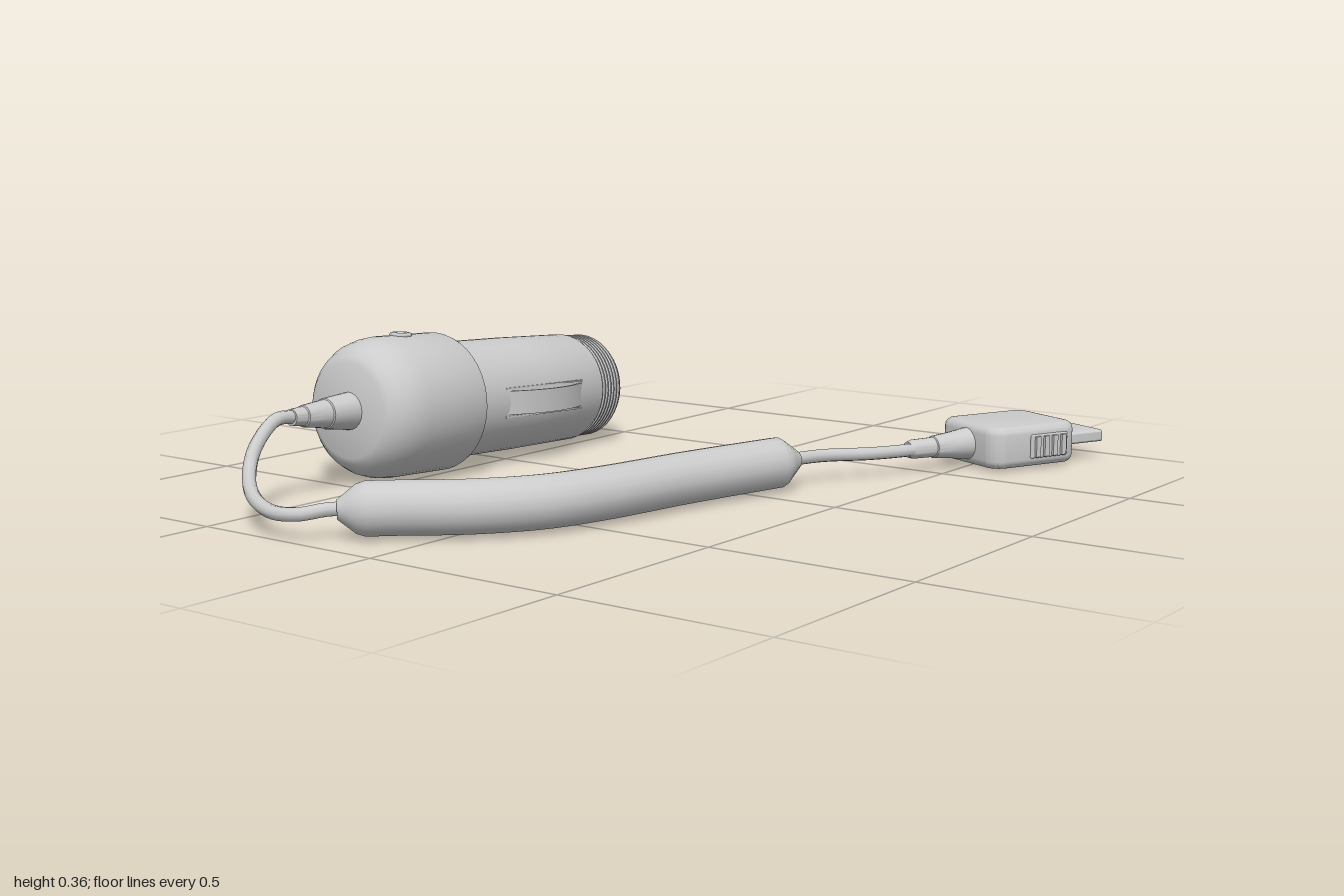
import * as THREE from 'three';
import { toCreasedNormals, mergeVertices } from 'three/addons/utils/BufferGeometryUtils.js';
import { RoundedBoxGeometry } from 'three/addons/geometries/RoundedBoxGeometry.js';

const material = new THREE.MeshStandardMaterial({ color: 0xcccccc, side: THREE.DoubleSide });

function add(parent, name, geometry, x = 0, y = 0, z = 0) {
  const mesh = new THREE.Mesh(geometry, material);
  mesh.name = name;
  mesh.position.set(x, y, z);
  parent.add(mesh);
  return mesh;
}

// Turned part along +x; profile is a list of [x, radius]
function turned(profile, segments = 40) {
  const points = profile.map(([x, r]) => new THREE.Vector2(r, x));
  return toCreasedNormals(new THREE.LatheGeometry(points, segments).rotateZ(-Math.PI / 2), 0.6);
}

// Tube along a curve, with its radius set by a function of the position 0..1
function cord(points, radiusAt, steps, sides) {
  const curve = new THREE.CatmullRomCurve3(points.map(p => new THREE.Vector3(...p)));
  const geometry = new THREE.TubeGeometry(curve, steps, 1, sides);
  const position = geometry.attributes.position;
  const v = new THREE.Vector3();
  for (let i = 0; i < position.count; i++) {
    const t = Math.floor(i / (sides + 1)) / steps;
    const centre = curve.getPointAt(t);
    v.fromBufferAttribute(position, i).sub(centre).multiplyScalar(radiusAt(t)).add(centre);
    position.setXYZ(i, v.x, v.y, v.z);
  }
  geometry.deleteAttribute('uv');
  geometry.deleteAttribute('normal');
  const merged = mergeVertices(geometry, 1e-5);
  merged.computeVertexNormals();
  return merged;
}

function roundedRect(w, h, r) {
  const s = new THREE.Shape();
  const x = w / 2 - r, y = h / 2 - r;
  s.absarc(x, y, r, 0, Math.PI / 2);
  s.absarc(-x, y, r, Math.PI / 2, Math.PI);
  s.absarc(-x, -y, r, Math.PI, Math.PI * 1.5);
  s.absarc(x, -y, r, Math.PI * 1.5, Math.PI * 2);
  s.closePath();
  return s;
}

function makeAdapter() {
  const adapter = new THREE.Group();
  adapter.name = 'socketAdapter';
  add(adapter, 'collar', turned([[-0.16, 0], [-0.16, 0.115], [-0.153, 0.13], [-0.135, 0.148], [-0.11, 0.162],
    [-0.08, 0.17], [-0.05, 0.173], [0.138, 0.173], [0.147, 0.17], [0.15, 0.163], [0.15, 0.14]]));
  add(adapter, 'barrel', turned([[0.14, 0.147], [0.4, 0.146], [0.635, 0.142], [0.643, 0.139], [0.643, 0.13]]));

  // Threaded end cap
  const cap = [[0.64, 0.133]];
  for (let i = 0; i < 6; i++) {
    const x = 0.652 + i * 0.012;
    cap.push([x, 0.133], [x + 0.003, 0.137], [x + 0.007, 0.137], [x + 0.01, 0.133]);
  }
  cap.push([0.73, 0.13], [0.738, 0.122], [0.743, 0.11], [0.743, 0]);
  add(adapter, 'endCap', turned(cap));
  add(adapter, 'contactPin', turned([[0.735, 0.034], [0.795, 0.034], [0.804, 0.03], [0.806, 0.022], [0.806, 0]], 20));

  // Bowed side springs
  for (const side of [1, -1]) {
    const strip = new THREE.Shape();
    const outer = [], inner = [];
    for (let i = 0; i <= 16; i++) {
      const u = i / 8 - 1;
      const r = 0.135 + 0.037 * (1 - u * u);
      outer.push(new THREE.Vector2(0.4 + u * 0.165, r));
      inner.unshift(new THREE.Vector2(0.4 + u * 0.165, r - 0.006));
    }
    strip.setFromPoints([...outer, ...inner]);
    const geometry = new THREE.ExtrudeGeometry(strip, { depth: 0.06, bevelEnabled: false })
      .translate(0, 0, -0.03).rotateX(side * Math.PI / 2);
    add(adapter, 'sideSpring', toCreasedNormals(geometry, 0.5));
    // Slot rims above and below the spring
    for (const y of [-0.036, 0.036]) {
      add(adapter, 'slotRim', new THREE.BoxGeometry(0.3, 0.004, 0.01), 0.4, y, side * 0.138);
    }
  }

  // Indicator light on top of the collar
  add(adapter, 'lightRing', new THREE.TorusGeometry(0.021, 0.007, 8, 20).rotateX(Math.PI / 2), 0.015, 0.173, 0);
  const light = add(adapter, 'light', new THREE.SphereGeometry(0.019, 16, 8), 0.015, 0.172, 0);
  light.scale.y = 0.5;

  // Cable boot with stepped rings
  add(adapter, 'cableBoot', turned([[-0.345, 0], [-0.345, 0.02], [-0.31, 0.023], [-0.308, 0.026],
    [-0.24, 0.034], [-0.238, 0.037], [-0.155, 0.046]], 20));

  adapter.position.set(-0.35, 0.183, -0.55);
  adapter.rotation.z = -0.05;
  return adapter;
}

function makePlug() {
  const plug = new THREE.Group();
  plug.name = 'devicePlug';
  const bevel = 0.02;
  const body = new THREE.ExtrudeGeometry(roundedRect(0.27 - 2 * bevel, 0.235 - 2 * bevel, 0.025), {
    depth: 0.105 - 2 * bevel, bevelThickness: bevel, bevelSize: bevel, bevelSegments: 4, curveSegments: 6,
  }).translate(0, 0, -0.0525 + bevel).rotateX(Math.PI / 2);
  add(plug, 'plugBody', toCreasedNormals(body, 0.6));

  // Flat hollow connector with contacts inside
  const shell = roundedRect(0.16, 0.03, 0.006);
  shell.holes.push(roundedRect(0.148, 0.018, 0.003));
  const tongue = new THREE.ExtrudeGeometry(shell, { depth: 0.125, bevelEnabled: false, curveSegments: 3 })
    .rotateY(Math.PI / 2).translate(0.117, 0, 0);
  add(plug, 'connectorShell', toCreasedNormals(tongue, 0.6));
  add(plug, 'contactBoard', new THREE.BoxGeometry(0.11, 0.008, 0.148), 0.175, -0.004, 0);
  for (let i = 0; i < 10; i++) {
    add(plug, 'contact', new THREE.BoxGeometry(0.115, 0.005, 0.007), 0.178, 0.002, (i - 4.5) * 0.0145);
  }

  // Ribbed release buttons on both sides
  for (const side of [1, -1]) {
    add(plug, 'releaseButton', new RoundedBoxGeometry(0.115, 0.06, 0.02, 2, 0.004), 0.035, 0, side * 0.113);
    for (let i = 0; i < 4; i++) {
      add(plug, 'buttonRib', new THREE.BoxGeometry(0.014, 0.052, 0.014), 0.035 + (i - 1.5) * 0.027, 0, side * 0.123);
    }
  }

  // Cable boot
  add(plug, 'cableBoot', turned([[-0.315, 0], [-0.315, 0.02], [-0.3, 0.024], [-0.24, 0.025],
    [-0.238, 0.028], [-0.18, 0.034], [-0.125, 0.042]], 20));
  plug.position.set(0.745, 0.062, 0.553);
  plug.rotation.y = -0.42;
  return plug;
}

export function createModel() {
  const model = new THREE.Group();
  model.name = 'carCharger';
  model.add(makeAdapter(), makePlug());

  // Thin cable from the adapter to the sleeve
  add(model, 'adapterCable', cord([[-0.68, 0.2, -0.55], [-0.74, 0.202, -0.55], [-0.82, 0.155, -0.532],
    [-0.9, 0.1, -0.47], [-0.955, 0.07, -0.39], [-0.984, 0.058, -0.3], [-0.975, 0.062, -0.23],
    [-0.93, 0.07, -0.19], [-0.88, 0.07, -0.135]], () => 0.016, 36, 10));

  // Thick sleeve holding the coiled cable, tapered at both ends
  const sleeveRadius = t => 0.022 + 0.039 * Math.min(1, t / 0.04, (1 - t) / 0.05);
  add(model, 'cableSleeve', cord([[-0.92, 0.07, -0.175], [-0.83, 0.07, -0.085], [-0.73, 0.07, 0.03],
    [-0.6, 0.07, 0.122], [-0.45, 0.07, 0.17], [-0.2, 0.07, 0.215], [0.07, 0.07, 0.278],
    [0.145, 0.07, 0.298]], sleeveRadius, 60, 16));

  // Thin cable from the sleeve to the plug
  add(model, 'plugCable', cord([[0.1, 0.07, 0.285], [0.16, 0.07, 0.295], [0.24, 0.068, 0.318],
    [0.35, 0.063, 0.38], [0.42, 0.062, 0.415], [0.48, 0.062, 0.442]], () => 0.016, 24, 10));
  return model;
}
